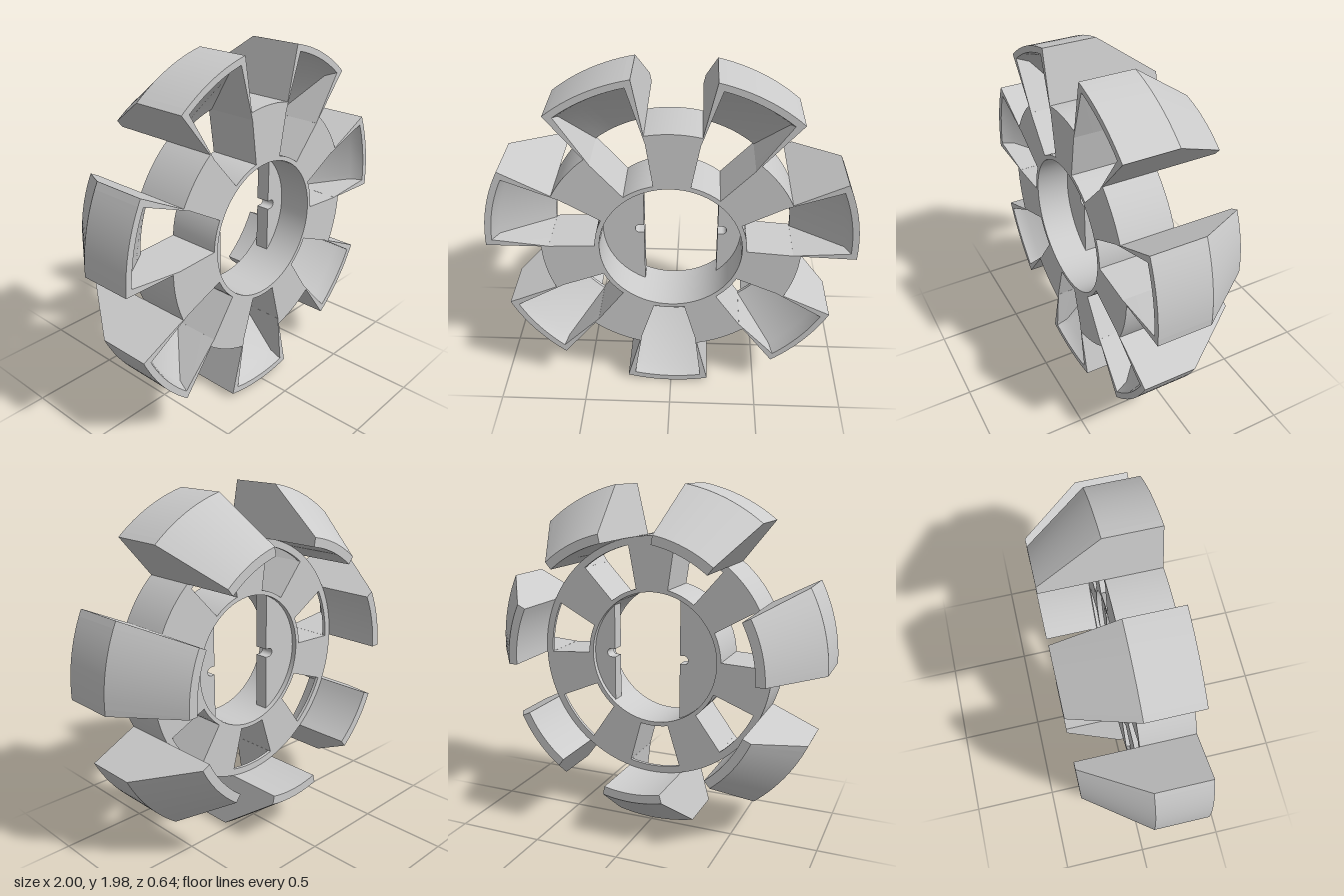
import * as THREE from 'three';
import { toCreasedNormals } from 'three/addons/utils/BufferGeometryUtils.js';

const COUNT = 7;
const STEP = (Math.PI * 2) / COUNT;
const FIRST = THREE.MathUtils.degToRad(-91.15);
const deg = THREE.MathUtils.degToRad;
const material = new THREE.MeshStandardMaterial({ color: 0xcccccc });

// Sweeps an (r, z) profile about the z axis from angle from(r) to angle to(r).
function sector(points, from, to, segments, capped = true) {
  let profile = points.map(([r, z]) => new THREE.Vector2(r, z));
  if (THREE.ShapeUtils.area(profile) < 0) profile = profile.reverse();
  const out = [];
  const put = (p, t) => {
    const a = THREE.MathUtils.lerp(from(p.x), to(p.x), t);
    out.push(p.x * Math.cos(a), p.x * Math.sin(a), p.y);
  };
  for (let s = 0; s < segments; s++) {
    const t0 = s / segments, t1 = (s + 1) / segments;
    profile.forEach((p, i) => {
      const q = profile[(i + 1) % profile.length];
      put(p, t0); put(p, t1); put(q, t1);
      put(p, t0); put(q, t1); put(q, t0);
    });
  }
  if (capped) {
    for (const [a, b, c] of THREE.ShapeUtils.triangulateShape(profile, [])) {
      [a, b, c].forEach((i) => put(profile[i], 0));
      [a, c, b].forEach((i) => put(profile[i], 1));
    }
  }
  const geometry = new THREE.BufferGeometry();
  geometry.setAttribute('position', new THREE.Float32BufferAttribute(out, 3));
  return toCreasedNormals(geometry, 0.55);
}

// Half angles of a lobe, of its pocket and of the window in the hub
const lobeEdge = () => deg(13.8);
const pocketEdge = (r) => deg(13.6 - Math.max(0, r - 0.66) * 6);
const windowEdge = (r) => deg(12 + 1.8 * THREE.MathUtils.clamp((r - 0.41) / 0.25, 0, 1));

// Flat plate filling the bore beyond a chord, with a rounded notch in its edge
function borePlate(chord, side) {
  const R = 0.39, n = 0.025;
  const a = Math.acos(chord / R);
  const h = R * Math.sin(a);
  const shape = new THREE.Shape();
  shape.moveTo(chord, -h);
  shape.absarc(0, 0, R, -a, a, false);
  shape.lineTo(chord, n);
  shape.lineTo(chord + 0.025, n);
  shape.absarc(chord + 0.025, 0, n, Math.PI / 2, -Math.PI / 2, true);
  shape.lineTo(chord, -n);
  const geometry = new THREE.ExtrudeGeometry(shape, { depth: 0.08, bevelEnabled: false, curveSegments: 24 });
  geometry.translate(0, 0, 0.05);
  if (side < 0) geometry.rotateZ(Math.PI);
  return geometry;
}

export function createModel() {
  const model = new THREE.Group();
  model.name = 'slottedRotor';
  const add = (name, geometry, parent, angle = 0) => {
    const mesh = new THREE.Mesh(geometry, material);
    mesh.name = name;
    mesh.rotation.z = angle;
    parent.add(mesh);
  };

  // Thin collar around the bore
  const collar = [[0.385, 0.02], [0.41, 0.02], [0.41, 0.32], [0.385, 0.32]];
  add('hubCollar', sector(collar, () => 0, () => Math.PI * 2, 72, false), model);

  // Lobe sections: solid side wall, and middle hollowed by a funnel
  const back = [[1, 0.32], [1, 0.02], [0.75, -0.32], [0.7, -0.32], [0.7, 0.02], [0.66, 0.02]];
  const wallProfile = [[0.66, 0.32], ...back];
  const middleProfile = [[0.965, 0.32], ...back, [0.66, 0.04], [0.935, 0.25]];
  const hubProfile = [[0.405, 0.02], [0.7, 0.02], [0.7, 0.32], [0.405, 0.32]];

  const middle = sector(middleProfile, (r) => -pocketEdge(r), pocketEdge, 10);
  const leftWall = sector(wallProfile, pocketEdge, lobeEdge, 1);
  const rightWall = sector(wallProfile, () => -lobeEdge(), (r) => -pocketEdge(r), 1);
  const hubBlock = sector(hubProfile, windowEdge, (r) => STEP - windowEdge(r), 10);

  for (let i = 0; i < COUNT; i++) {
    const angle = FIRST + i * STEP;
    const lobe = new THREE.Group();
    lobe.name = 'lobe' + (i + 1);
    lobe.rotation.z = angle;
    add('lobeShell', middle, lobe);
    add('lobeSideWall', leftWall, lobe);
    add('lobeSideWall', rightWall, lobe);
    model.add(lobe);
    add('hubBlock', hubBlock, model, angle);
  }

  // Notched plates inside the bore
  add('rightBorePlate', borePlate(0.155, -1), model);
  add('leftBorePlate', borePlate(0.255, 1), model);

  model.position.y = 1;
  const root = new THREE.Group();
  root.name = 'rotor';
  root.add(model);
  return root;
}
